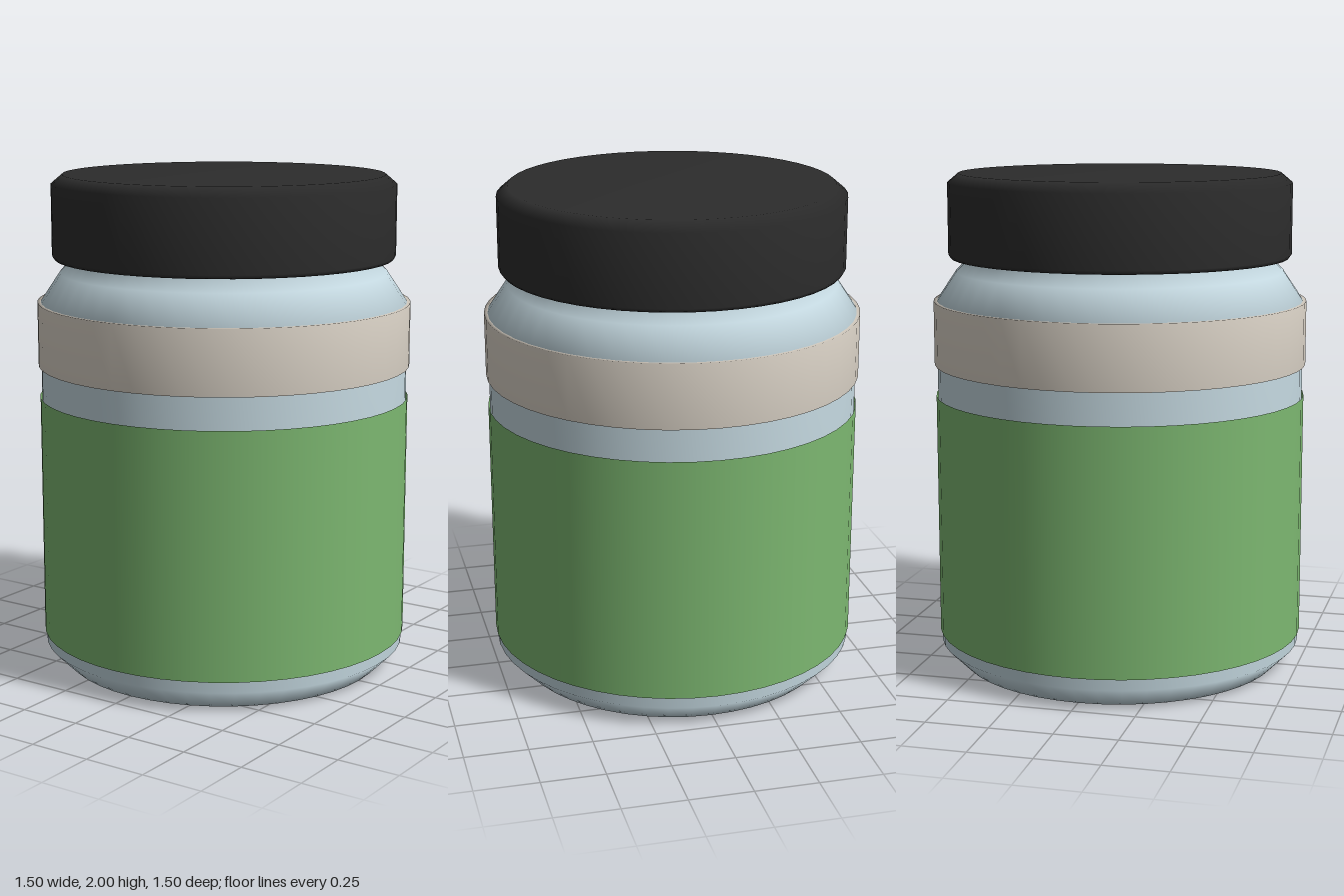
import * as THREE from 'three';

const SEGMENTS = 48;

function material(name, color, side = THREE.FrontSide) {
  const m = new THREE.MeshStandardMaterial({ color, side });
  m.name = name;
  return m;
}

// Revolves a bottom-to-top [radius, height] profile around the y axis
function turned(name, profile, mat) {
  const points = profile.map(([r, y]) => new THREE.Vector2(r, y));
  const mesh = new THREE.Mesh(new THREE.LatheGeometry(points, SEGMENTS), mat);
  mesh.name = name;
  return mesh;
}

export function createModel() {
  const glass = material('pale blue glass', 0xc4d8e0);
  const green = material('green label', 0x7db871, THREE.DoubleSide);
  const cream = material('cream band', 0xdcd4c8);
  const black = material('black lid', 0x2c2c2c);

  const jar = new THREE.Group();
  jar.name = 'jar';

  // Jar body: chamfered base, straight wall, sloped shoulder, neck inside the lid
  jar.add(turned('body', [
    [0, 0], [0.655, 0], [0.74, 0.085], [0.74, 1.49],
    [0.66, 1.61], [0.605, 1.665], [0.6, 1.8], [0, 1.8],
  ], glass));

  // Thin wrap-around label
  jar.add(turned('label', [[0.747, 0.13], [0.747, 1.11]], green));

  // Raised band below the shoulder, closed top and bottom
  jar.add(turned('band', [
    [0.73, 1.237], [0.752, 1.237], [0.752, 1.493], [0.73, 1.493],
  ], cream));

  // Lid with chamfered upper rim
  jar.add(turned('lid', [
    [0, 1.665], [0.68, 1.665], [0.69, 1.68], [0.69, 1.962],
    [0.645, 2], [0, 2],
  ], black));

  return jar;
}
